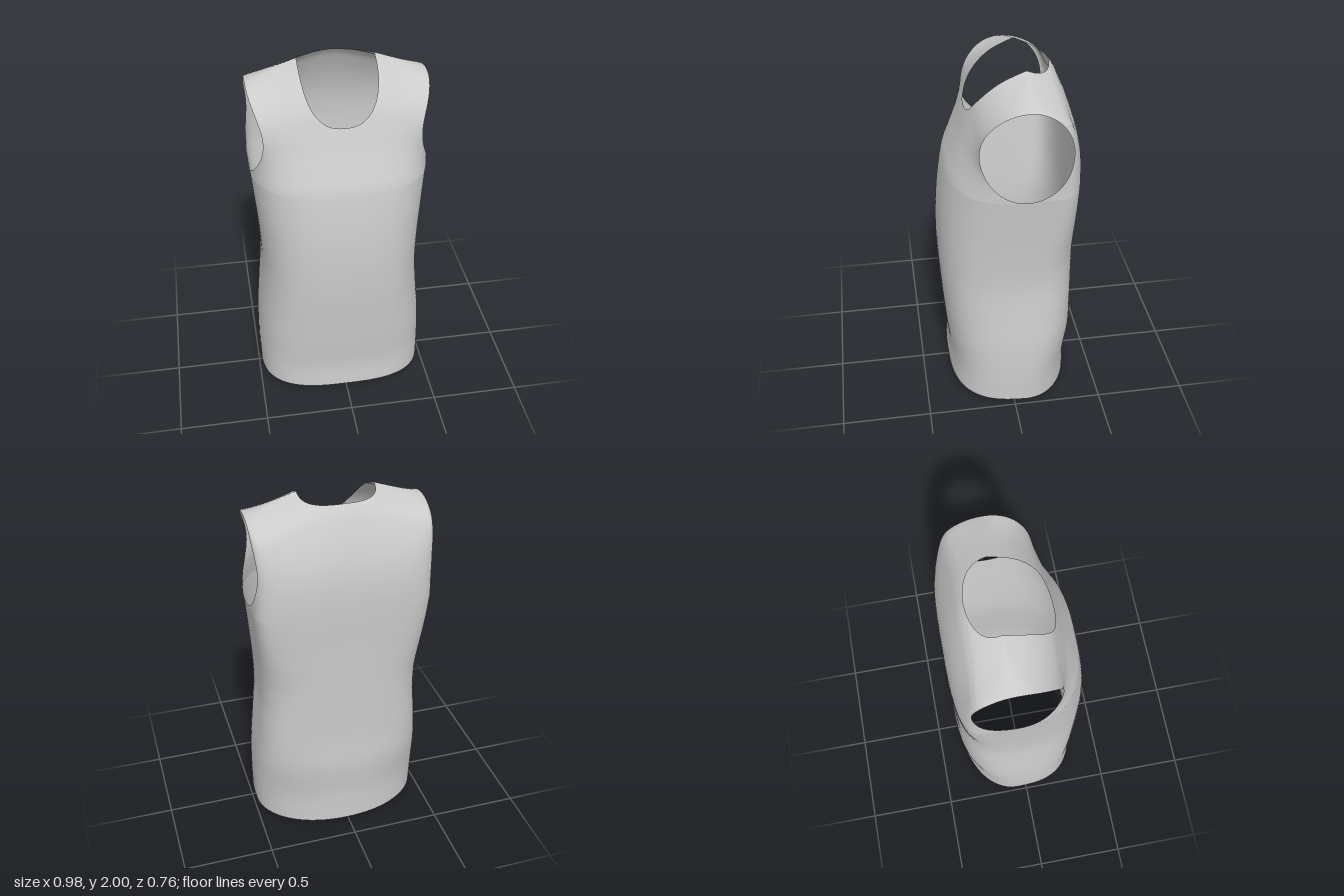
import * as THREE from 'three';
import { mergeVertices } from 'three/addons/utils/BufferGeometryUtils.js';

const { lerp, smoothstep } = THREE.MathUtils;

// Smooth curve sampled by its point number
function curve(points) {
  const c = new THREE.CatmullRomCurve3(points.map((p) => new THREE.Vector3(...p)), false, 'catmullrom', 0.5);
  return (v) => c.getPoint(Math.min(1, v / (points.length - 1)));
}

const UNDERARM = 7, SHOULDER = 13; // row numbers

// Side seam from hem to underarm: x, y, z
const sideSeam = curve([
  [0.485, 0.022, -0.05], [0.488, 0.2, -0.06], [0.48, 0.4, -0.07], [0.461, 0.6, -0.08],
  [0.445, 0.8, -0.08], [0.452, 1, -0.08], [0.468, 1.2, -0.07], [0.487, 1.4, -0.06],
]);

// Centre lines from hem over the chest or back to the shoulder: y, z.
// Beyond the neck row they only steer the shoulder surface.
// squareness gives the two powers of the cross-section at a height.
const panels = [
  {
    dir: 1, neckRow: 10, neckPower: 0.42, armDepth: 0.24,
    armInset: (s) => 0.052 * Math.pow(s, 2.6) + 0.014 * Math.pow(s, 6),
    squareness: (y) => {
      const n = lerp(2.9, 2.6, smoothstep(y, 0.7, 1.4));
      return [n, n];
    },
    centre: curve([
      [0, 0.05, 0.345], [0, 0.2, 0.338], [0, 0.4, 0.355], [0, 0.6, 0.37], [0, 0.8, 0.38],
      [0, 1, 0.38], [0, 1.2, 0.366], [0, 1.4, 0.335], [0, 1.51, 0.295], [0, 1.62, 0.25],
      [0, 1.73, 0.21], [0, 1.86, 0.155], [0, 1.98, 0.055], [0, 2.07, -0.09],
    ]),
  },
  {
    dir: -1, neckRow: 12, neckPower: 0.6, armDepth: 0.23,
    armInset: (s) => 0.0175 * Math.pow(s, 7),
    squareness: (y) => {
      const n = lerp(2.1, 3, smoothstep(y, 0.1, 0.7));
      return [n, n + 4 * smoothstep(y, 0.9, 1.4)];
    },
    centre: curve([
      [0, 0, -0.362], [0, 0.2, -0.362], [0, 0.4, -0.376], [0, 0.6, -0.37], [0, 0.8, -0.37],
      [0, 1, -0.37], [0, 1.2, -0.372], [0, 1.4, -0.376], [0, 1.52, -0.375], [0, 1.63, -0.365],
      [0, 1.74, -0.34], [0, 1.86, -0.295], [0, 1.965, -0.235], [0, 2.07, -0.09],
    ]),
  },
];

// One row of points from the centre (or neck edge) to the outer edge
function panelRow(panel, v, side, columns, out) {
  const body = v <= UNDERARM;
  const rise = Math.max(0, (v - UNDERARM) / (SHOULDER - UNDERARM));
  const mid = panel.centre(v);
  const seam = body ? sideSeam(v) : new THREE.Vector3(lerp(0.487, 0.48, rise), lerp(1.4, 1.9, rise), -0.06);
  // Above the underarm the row ends at the round armhole
  const s = 2 * Math.sqrt(Math.max(0, rise * (1 - rise)));
  const edgeX = seam.x - panel.armInset(s);
  const edgeZ = seam.z + panel.dir * panel.armDepth * s;
  // Neckline
  const t = Math.max(0, (v - panel.neckRow) / (SHOULDER - panel.neckRow));
  const neckX = 0.205 * Math.pow(1 - Math.pow(1 - t, 2.5), panel.neckPower);
  const start = Math.asin(neckX / edgeX);
  // Rounded cross-section; both panels share one shape at the shoulder seam
  const [p, q] = panel.squareness(mid.y).map((n) => lerp(n, 2.5, smoothstep(rise, 0.4, 1)));
  const section = (x) => Math.pow(Math.max(0, 1 - Math.pow(x / seam.x, p)), 1 / q);
  const flare = edgeZ - lerp(seam.z, mid.z, section(edgeX));
  const slope = 2 - Math.pow(rise, 3);
  for (let i = 0; i <= columns; i++) {
    const u = i === columns ? 1 : Math.sin(lerp(start, Math.PI / 2, i / columns));
    const bulge = section(edgeX * u);
    const drop = body ? 1 - bulge : Math.pow(u, slope);
    out.push(
      side * edgeX * u,
      lerp(mid.y, seam.y, drop),
      lerp(seam.z, mid.z, bulge) + flare * Math.pow(u, 4),
    );
  }
}

// Row positions: even on the body, then by angle around the armhole,
// closer together near the bottom of the neckline
function rowList(neckRow) {
  const rows = [];
  const span = SHOULDER - UNDERARM, steps = 24;
  const neckAngle = Math.acos(1 - 2 * (neckRow - UNDERARM) / span);
  const atAngle = (a) => UNDERARM + span * (1 - Math.cos(a)) / 2;
  for (let v = 0; v < UNDERARM; v += 0.125) rows.push(v);
  for (let k = 0; k < steps; k++) rows.push(atAngle(neckAngle * k / steps));
  for (let k = 0; k <= steps; k++) rows.push(atAngle(lerp(neckAngle, Math.PI, Math.pow(k / steps, 2))));
  return rows;
}

function shirtGeometry() {
  const columns = 32, positions = [], index = [];
  for (const panel of panels) {
    const rows = rowList(panel.neckRow);
    for (const side of [1, -1]) {
      const base = positions.length / 3;
      rows.forEach((v) => panelRow(panel, v, side, columns, positions));
      for (let j = 0; j < rows.length - 1; j++) {
        for (let i = 0; i < columns; i++) {
          const a = base + j * (columns + 1) + i, b = a + 1;
          const d = a + columns + 1, c = d + 1;
          if (side * panel.dir > 0) index.push(a, b, c, a, c, d);
          else index.push(a, c, b, a, d, c);
        }
      }
    }
  }
  const geometry = new THREE.BufferGeometry();
  geometry.setAttribute('position', new THREE.Float32BufferAttribute(positions, 3));
  geometry.setIndex(index);
  // Join the panels at the side and shoulder seams
  const joined = mergeVertices(geometry, 1e-4);
  joined.computeVertexNormals();
  return joined;
}

export function createModel() {
  const group = new THREE.Group();
  group.name = 'sleevelessShirt';
  const cloth = new THREE.MeshStandardMaterial({ color: 0xcccccc, side: THREE.DoubleSide });
  const shirt = new THREE.Mesh(shirtGeometry(), cloth);
  shirt.name = 'shirtBody';
  group.add(shirt);
  return group;
}
